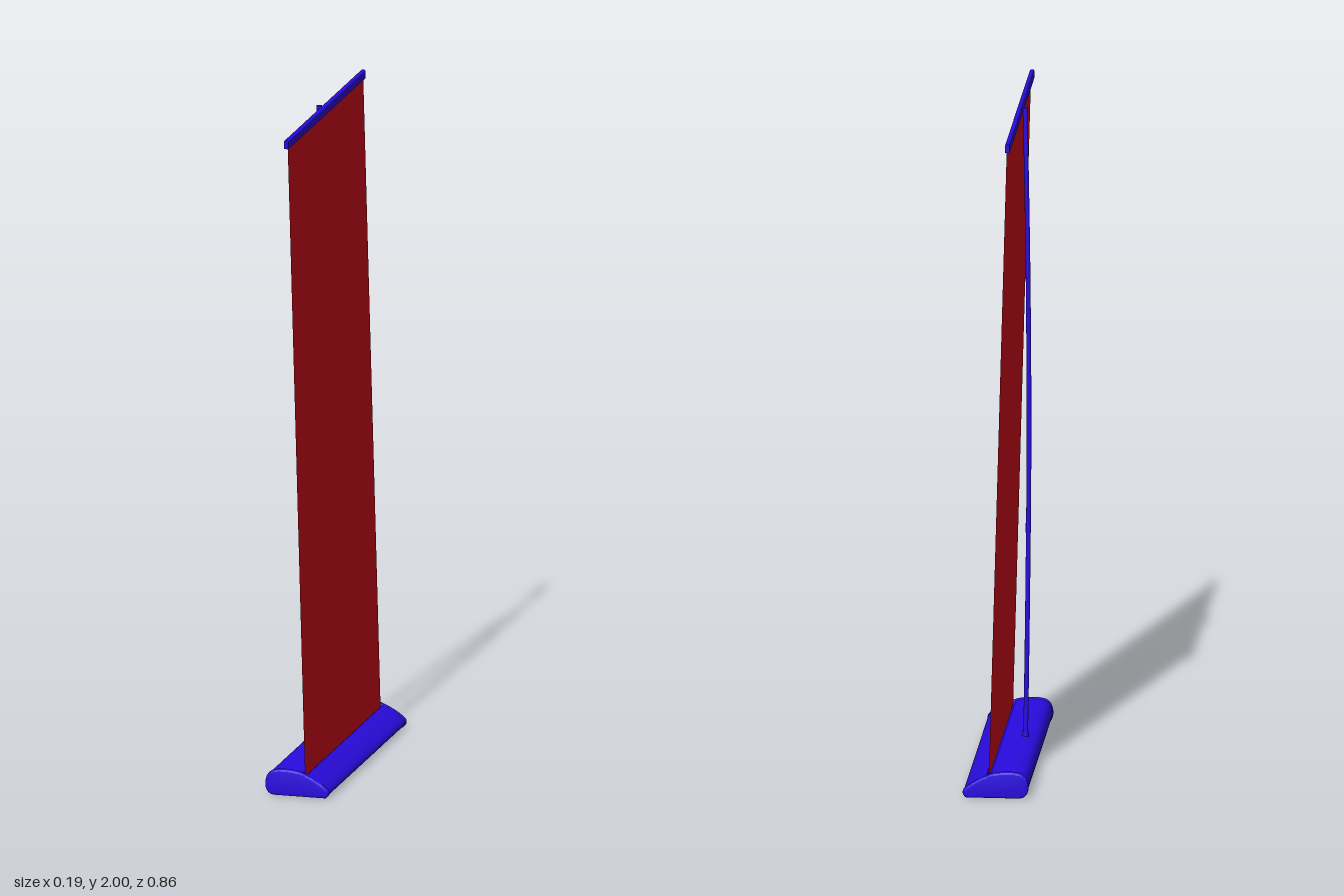
import * as THREE from 'three';
import { toCreasedNormals } from 'three/addons/utils/BufferGeometryUtils.js';

const blue = new THREE.MeshStandardMaterial({ color: 0x2a0be0 });
const red = new THREE.MeshStandardMaterial({ color: 0xd60d1c, side: THREE.DoubleSide });

function add(parent, name, geometry, material = blue) {
  const mesh = new THREE.Mesh(geometry, material);
  mesh.name = name;
  parent.add(mesh);
  return mesh;
}

// Cross-section of the cassette: round back, crown, slope to a thin front lip
function baseShape(slot) {
  const s = new THREE.Shape();
  s.moveTo(-0.07, 0.003);
  s.bezierCurveTo(-0.1, 0.004, -0.1, 0.035, -0.094, 0.053);
  s.bezierCurveTo(-0.088, 0.074, -0.07, 0.078, -0.04, 0.078);
  s.quadraticCurveTo(-0.01, 0.078, 0.012, 0.071);
  if (slot) {
    s.lineTo(0.015, 0.06);
    s.lineTo(0.024, 0.057);
    s.lineTo(0.026, 0.066);
  }
  s.quadraticCurveTo(0.062, 0.052, 0.09, 0.026);
  s.quadraticCurveTo(0.099, 0.014, 0.085, 0.003);
  s.closePath();
  return s;
}

function extrudeZ(shape, depth, options = {}) {
  const g = new THREE.ExtrudeGeometry(shape, { depth, bevelEnabled: false, curveSegments: 12, ...options });
  g.translate(0, 0, -depth / 2);
  return toCreasedNormals(g, 0.6);
}

export function createModel() {
  const model = new THREE.Group();
  model.name = 'rollUpBanner';

  // Cassette and its two end caps
  const base = new THREE.Group();
  base.name = 'base';
  model.add(base);
  add(base, 'cassette', extrudeZ(baseShape(true), 0.82));
  for (const side of [1, -1]) {
    const cap = add(base, side > 0 ? 'frontEndCap' : 'backEndCap', extrudeZ(baseShape(false), 0.01, {
      bevelEnabled: true, bevelThickness: 0.005, bevelSize: 0.006, bevelOffset: -0.004, bevelSegments: 3,
    }));
    cap.position.z = side * 0.418;
  }
  // Thin foot plate below the cassette
  add(base, 'footPlate', new THREE.BoxGeometry(0.12, 0.004, 0.6)).position.set(0, 0.002, 0);

  // Leaning printed sheet, running from the slot to the top rail
  const low = new THREE.Vector2(0.019, 0.06), high = new THREE.Vector2(-0.034, 1.98);
  const sheet = add(model, 'bannerSheet', new THREE.PlaneGeometry(0.82, low.distanceTo(high)), red);
  sheet.rotation.order = 'ZYX';
  sheet.rotation.set(0, Math.PI / 2, Math.atan2(low.x - high.x, high.y - low.y));
  sheet.position.set((low.x + high.x) / 2, (low.y + high.y) / 2, 0);

  // Clamp rail along the top edge
  const rail = new THREE.Shape();
  rail.moveTo(-0.043, 1.974);
  rail.lineTo(-0.03, 1.974);
  rail.lineTo(-0.03, 1.996);
  rail.quadraticCurveTo(-0.03, 2.0, -0.034, 2.0);
  rail.lineTo(-0.039, 2.0);
  rail.quadraticCurveTo(-0.043, 2.0, -0.043, 1.996);
  rail.closePath();
  add(model, 'topRail', extrudeZ(rail, 0.838));

  // Slightly bowed support pole with a socket and joint sleeves
  const support = new THREE.Group();
  support.name = 'support';
  model.add(support);
  const bow = new THREE.CatmullRomCurve3([
    [-0.054, 0.07], [-0.06, 0.5], [-0.064, 1.0], [-0.061, 1.5], [-0.053, 1.99],
  ].map(([x, y]) => new THREE.Vector3(x, y, 0)));
  add(support, 'pole', new THREE.TubeGeometry(bow, 32, 0.007, 12));
  for (const t of [0.335, 0.665]) {
    const sleeve = add(support, 'jointSleeve', new THREE.CylinderGeometry(0.008, 0.008, 0.03, 12));
    sleeve.position.copy(bow.getPointAt(t));
  }
  add(support, 'socket', new THREE.CylinderGeometry(0.009, 0.011, 0.02, 12)).position.set(-0.054, 0.082, 0);

  // Hook joining the pole to the rail
  add(support, 'poleCap', new THREE.CylinderGeometry(0.008, 0.008, 0.02, 12)).position.set(-0.053, 1.988, 0);
  add(support, 'hook', new THREE.BoxGeometry(0.018, 0.008, 0.01)).position.set(-0.047, 1.988, 0);
  return model;
}
